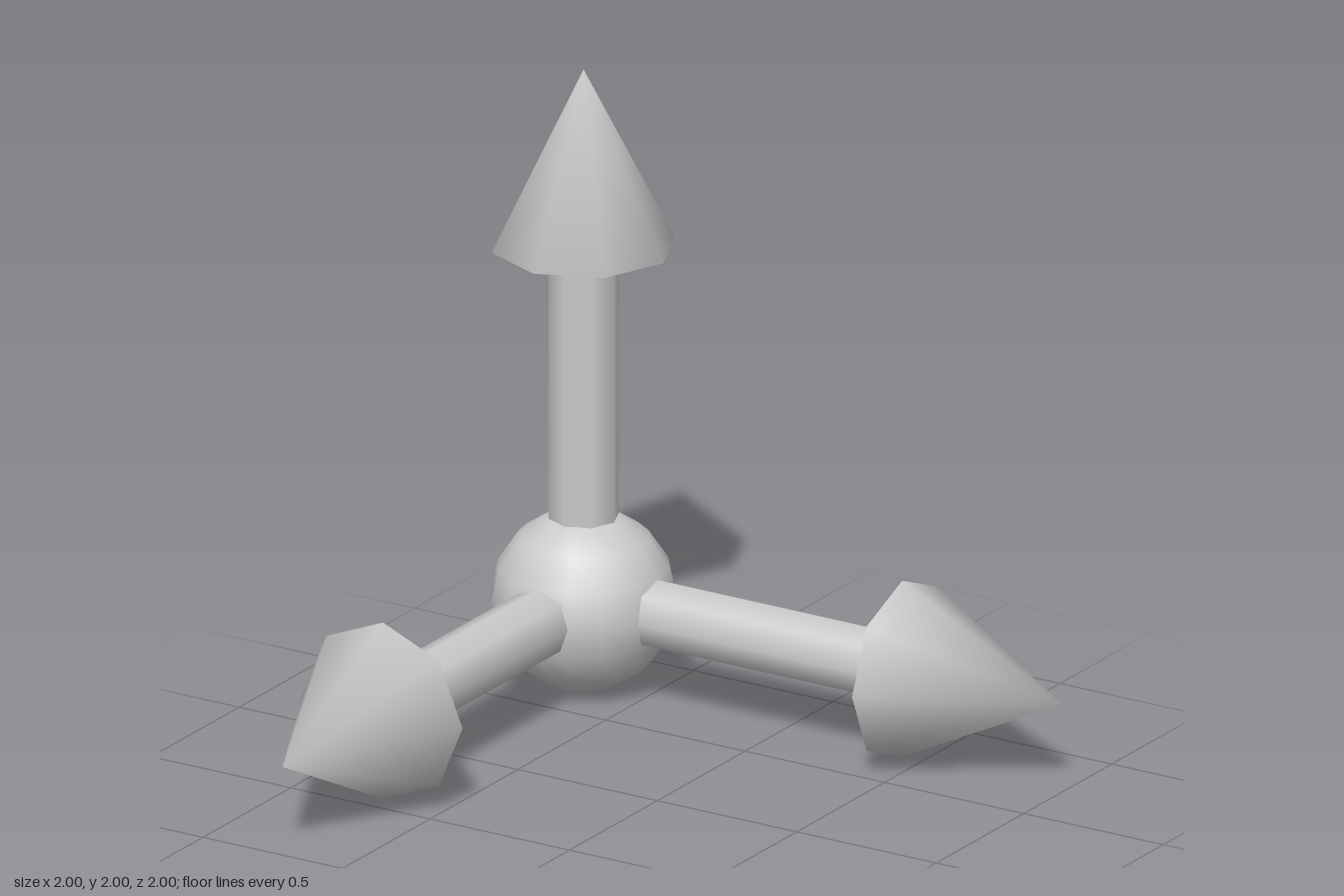
import * as THREE from 'three';
import { mergeVertices } from 'three/addons/utils/BufferGeometryUtils.js';

const R = 2 / 7; // radius of the ball and the arrowheads

// Weld a geometry so its normals run smoothly over every edge
function smooth(geometry) {
  geometry.deleteAttribute('normal');
  geometry.deleteAttribute('uv');
  const welded = mergeVertices(geometry);
  welded.computeVertexNormals();
  return welded;
}

export function createModel() {
  const model = new THREE.Group();
  model.name = 'axisArrows';
  model.position.set(R - 1, R, R - 1);
  const material = new THREE.MeshStandardMaterial({ color: 0xcccccc });

  // Ball at the origin of the three arrows
  const ball = new THREE.Mesh(new THREE.SphereGeometry(R, 16, 8), material);
  ball.name = 'centreBall';
  model.add(ball);

  // Eight-sided shaft and closed arrowhead, both pointing along +y
  const shaftGeometry = new THREE.CylinderGeometry(0.109, 0.109, 4 * R, 8, 1, true);
  shaftGeometry.translate(0, 2 * R, 0);
  const headGeometry = smooth(new THREE.ConeGeometry(R, 2 * R, 8));
  headGeometry.translate(0, 5 * R, 0);

  // One arrow per axis
  const arrows = [
    ['upArrow', 0, 0],
    ['leftArrow', 0, -Math.PI / 2],
    ['frontArrow', Math.PI / 2, 0],
  ];
  for (const [name, rx, rz] of arrows) {
    const arrow = new THREE.Group();
    arrow.name = name;
    const shaft = new THREE.Mesh(shaftGeometry, material);
    shaft.name = 'shaft';
    const head = new THREE.Mesh(headGeometry, material);
    head.name = 'arrowhead';
    arrow.add(shaft, head);
    arrow.rotation.set(rx, 0, rz);
    model.add(arrow);
  }

  const root = new THREE.Group();
  root.add(model);
  return root;
}
